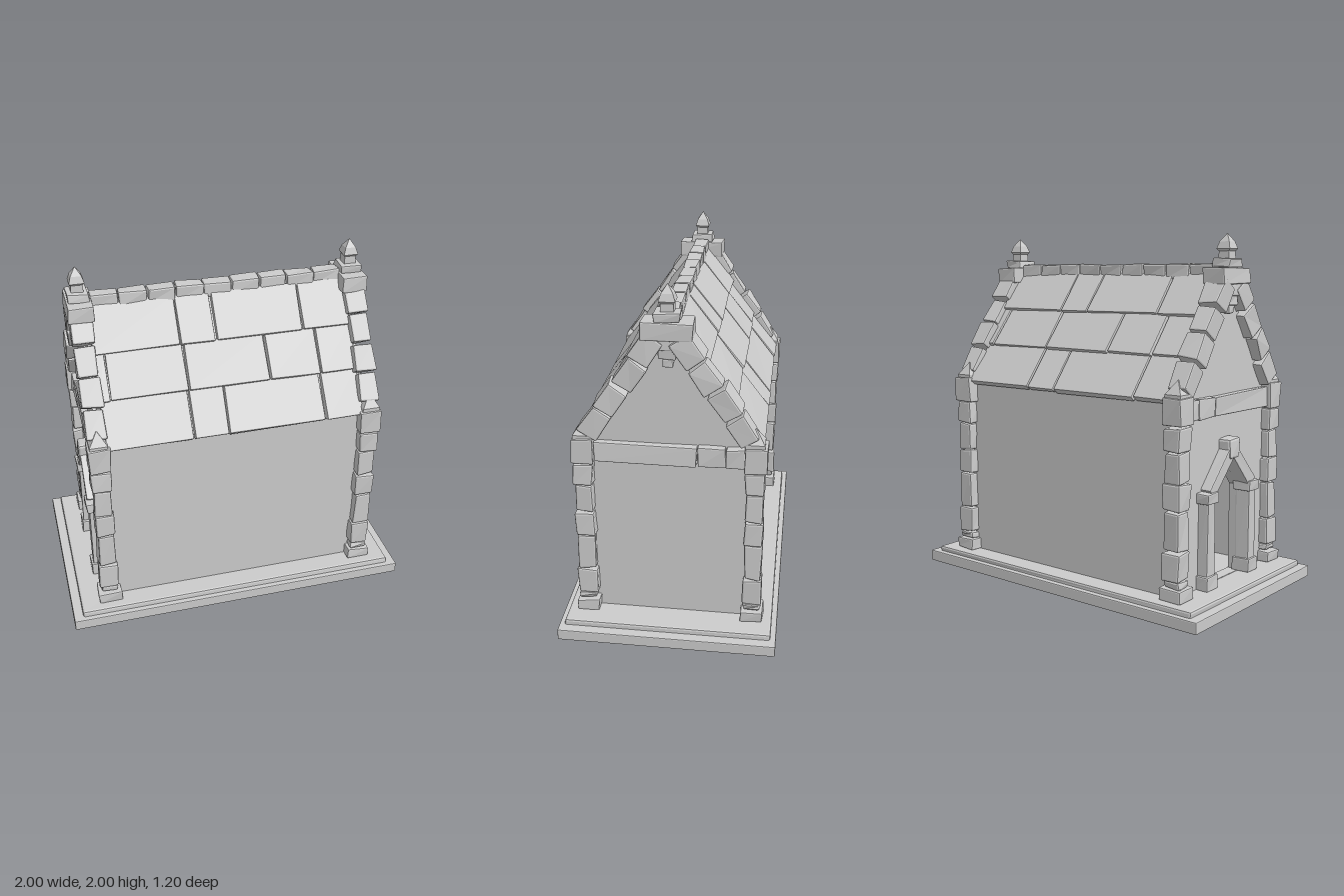
import * as THREE from 'three';
import { RoundedBoxGeometry } from 'three/addons/geometries/RoundedBoxGeometry.js';

const stone = new THREE.MeshStandardMaterial({ color: 0xcccccc, flatShading: true });

// Seeded random numbers for the worn stone corners
let seed = 7;
function rand(range) {
  seed = (seed * 16807) % 2147483647;
  return (seed / 2147483647 * 2 - 1) * range;
}

function addMesh(parent, name, geometry, x = 0, y = 0, z = 0) {
  const mesh = new THREE.Mesh(geometry, stone);
  mesh.name = name;
  mesh.position.set(x, y, z);
  parent.add(mesh);
  return mesh;
}

// Chamfered stone block whose eight corners are nudged a little
function block(parent, name, size, pos, wear = 0.005, chamfer = 0.007) {
  const geo = new RoundedBoxGeometry(...size, 1, chamfer);
  const nudges = Array.from({ length: 8 }, () => [rand(wear), rand(wear), rand(wear)]);
  const p = geo.attributes.position;
  for (let i = 0; i < p.count; i++) {
    const n = nudges[(p.getX(i) > 0 ? 1 : 0) + (p.getY(i) > 0 ? 2 : 0) + (p.getZ(i) > 0 ? 4 : 0)];
    p.setXYZ(i, p.getX(i) + n[0], p.getY(i) + n[1], p.getZ(i) + n[2]);
  }
  return addMesh(parent, name, geo, ...pos);
}

function group(parent, name) {
  const g = new THREE.Group();
  g.name = name;
  parent.add(g);
  return g;
}

// Four-sided spike standing on y = 0; profile of [half width, height]
function spike(parent, name, profile, x, y, z) {
  const pts = profile.map(([r, h]) => new THREE.Vector2(r * Math.SQRT2, h));
  const geo = new THREE.LatheGeometry(pts, 4, Math.PI / 4);
  return addMesh(parent, name, geo, x, y, z);
}

// Gable wall, outlined in z and y, with an optional pointed doorway
function gableWall(parent, name, x, withDoor) {
  const pts = [[-0.44, 0.09], [0.44, 0.09], [0.44, 1.12], [0, 1.76], [-0.44, 1.12]];
  const shape = new THREE.Shape(pts.map(p => new THREE.Vector2(...p)));
  if (withDoor) {
    const door = [[-0.175, 0.1], [-0.175, 0.6], [0, 0.8], [0.175, 0.6], [0.175, 0.1]];
    shape.holes.push(new THREE.Path(door.map(p => new THREE.Vector2(...p))));
  }
  const geo = new THREE.ExtrudeGeometry(shape, { depth: 0.07, bevelEnabled: false });
  geo.translate(0, 0, -0.035).rotateY(Math.PI / 2);
  addMesh(parent, name, geo, x);
}

function buildColumn(parent, sx, sz) {
  const col = group(parent, 'cornerColumn');
  const x = 0.773 * sx, z = 0.455 * sz;
  block(col, 'columnBase', [0.135, 0.065, 0.125], [x, 0.128, z]);
  const joints = [0.16, 0.205, 0.36, 0.575, 0.72, 0.885, 1.015];
  for (let i = 0; i + 1 < joints.length; i++) {
    const h = joints[i + 1] - joints[i];
    const w = i % 2 ? 0.108 : 0.098;
    block(col, 'columnStone', [w, h - 0.006, w - 0.003], [x, joints[i] + h / 2, z], 0.006, 0.01);
  }
  block(col, 'columnCapital', [0.122, 0.145, 0.115], [x, 1.09, z]);
  spike(col, 'columnSpike', [[0.05, 0], [0.05, 0.025], [0, 0.1]], x, 1.155, z - 0.005 * sz);
}

// One roof slope: local z runs down the slope, local y points out of it
function buildSlope(parent, turn) {
  const side = group(parent, 'roofSide');
  side.rotation.y = turn;
  const slope = group(side, 'roofSlope');
  slope.position.set(0, 1.78, 0.05);
  slope.rotation.x = 0.972;
  addMesh(slope, 'roofBacking', new THREE.BoxGeometry(1.5, 0.03, 0.8), 0, -0.048, 0.35);

  const rows = [-0.01, 0.254, 0.508, 0.77];
  const seams = [[-0.735, -0.25, -0.05, 0.45, 0.735], [-0.735, -0.67, -0.24, 0.22, 0.52, 0.735],
    [-0.735, -0.25, -0.05, 0.51, 0.735]];
  for (let r = 0; r < 3; r++) {
    const len = rows[r + 1] - rows[r];
    for (let i = 0; i + 1 < seams[r].length; i++) {
      const a = seams[r][i], b = seams[r][i + 1];
      const tile = block(slope, 'roofSlab', [b - a - 0.009, 0.04, len + 0.01],
        [(a + b) / 2, -0.018, rows[r] + len / 2], 0.004, 0.006);
      tile.rotation.x = -0.07;
    }
  }
  // Raised coping stones along both gables
  for (const sx of [-1, 1]) {
    for (let i = 0; i < 4; i++) {
      const w = i % 2 ? 0.11 : 0.125;
      block(slope, 'copingStone', [w, 0.115, 0.155],
        [0.773 * sx, (i % 2 ? -0.026 : -0.016), 0.12 + i * 0.169], 0.006, 0.009);
    }
  }
}

// Stepped block, hanging bracket and finial at a gable peak
function buildPeak(parent, sx) {
  const peak = group(parent, 'gablePeak');
  const x = 0.77 * sx;
  block(peak, 'peakStone', [0.14, 0.09, 0.265], [x, 1.775, 0]);
  block(peak, 'peakCap', [0.115, 0.05, 0.13], [x, 1.842, 0]);
  spike(peak, 'finial', [[0.034, 0], [0.032, 0.05], [0.042, 0.062], [0.03, 0.1], [0, 0.145]], x, 1.857, 0);
  const steps = [[0.12, 0.06, 1.7], [0.09, 0.06, 1.65], [0.055, 0.05, 1.6]];
  steps.forEach(([w, h, y], i) =>
    block(peak, 'peakBracket', [0.1 - i * 0.02, h, w], [0.775 * sx, y, 0], 0.003));
}

function buildDoorFrame(parent) {
  const frame = group(parent, 'doorFrame');
  const x = -0.79;
  for (const s of [-1, 1]) {
    block(frame, 'doorPostBase', [0.11, 0.08, 0.105], [x, 0.135, 0.21 * s], 0.003);
    block(frame, 'doorPost', [0.085, 0.42, 0.075], [x, 0.375, 0.21 * s], 0.004);
    block(frame, 'doorPostCapital', [0.11, 0.06, 0.11], [x, 0.6, 0.21 * s], 0.003);
    const beam = block(frame, 'doorArchStone', [0.09, 0.07, 0.29], [x, 0.725, 0.105 * s], 0.004);
    beam.rotation.x = 0.82 * s;
  }
  block(frame, 'doorKeystone', [0.11, 0.11, 0.1], [x, 0.845, 0], 0.004, 0.015);
}

export function createModel() {
  const model = new THREE.Group();
  model.name = 'stoneTomb';

  // Stepped plinth
  block(model, 'plinth', [2, 0.065, 1.2], [0, 0.0325, 0], 0, 0.006);
  block(model, 'plinthStep', [1.89, 0.05, 1.14], [0, 0.073, 0], 0.003, 0.012);

  // Walls around the hollow chamber
  for (const s of [-1, 1]) {
    addMesh(model, 'longWall', new THREE.BoxGeometry(1.5, 1.04, 0.07), 0, 0.61, 0.415 * s);
  }
  gableWall(model, 'rearGableWall', 0.735, false);
  gableWall(model, 'doorGableWall', -0.735, true);
  buildDoorFrame(model);

  // Corner columns, cross beams and peaks
  for (const sx of [-1, 1]) {
    for (const sz of [-1, 1]) buildColumn(model, sx, sz);
    const cuts = [-0.4, -0.3, -0.15, 0.4];
    for (let i = 0; i < 3; i++) {
      const len = cuts[i + 1] - cuts[i];
      block(model, 'gableBeam', [0.09, 0.11, len - 0.005],
        [0.765 * sx, 1.085, cuts[i] + len / 2], 0.005);
    }
    buildPeak(model, sx);
  }

  // Roof slopes and ridge stones
  buildSlope(model, 0);
  buildSlope(model, Math.PI);
  const ridge = group(model, 'ridge');
  for (let i = 0; i < 9; i++) {
    block(ridge, 'ridgeStone', [0.153, 0.085, 0.085], [-0.632 + i * 0.158, 1.798, 0], 0.005, 0.01);
  }
  return model;
}
